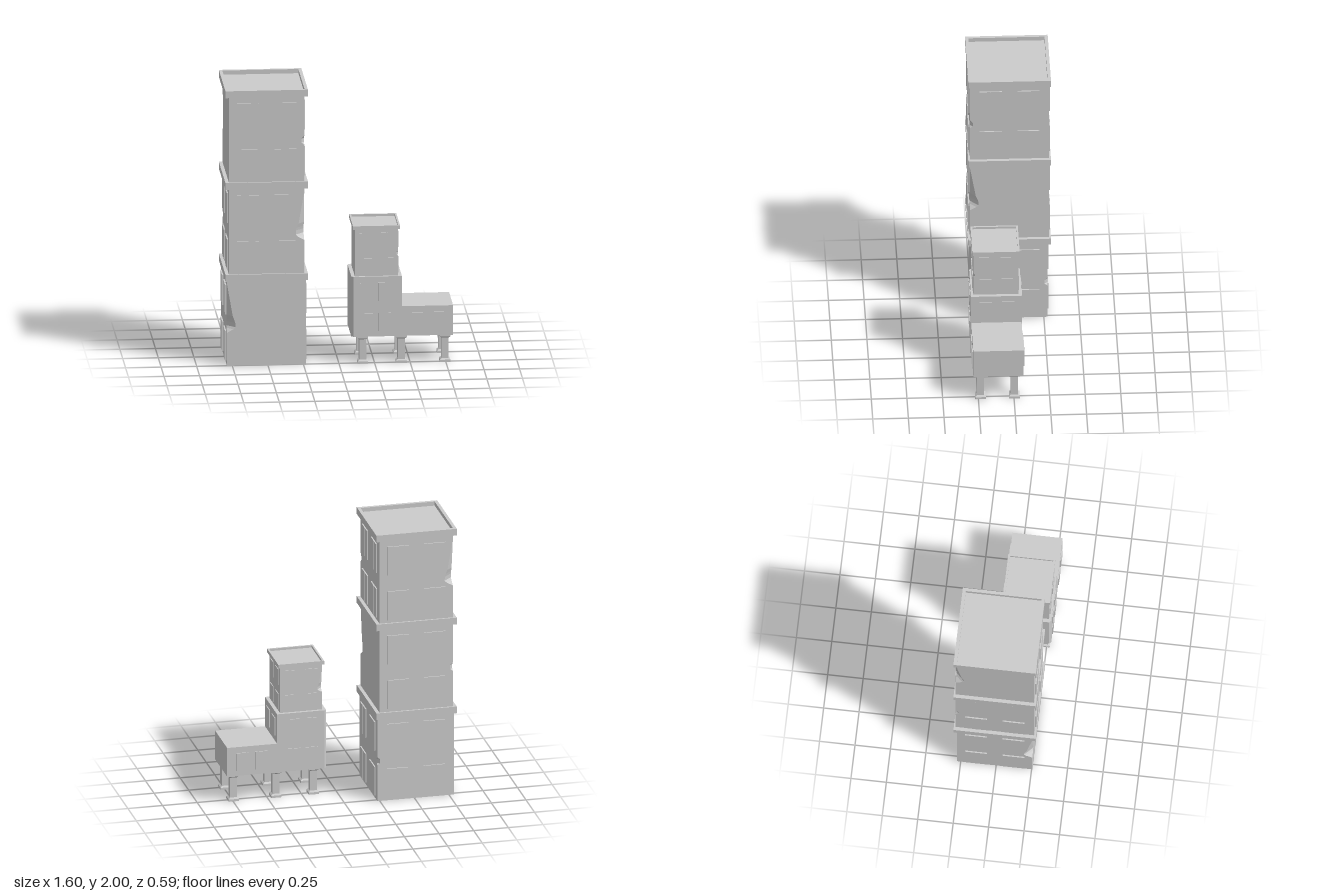
import * as THREE from 'three';

const mat = new THREE.MeshStandardMaterial({ color: 0xcccccc, flatShading: true });

function add(parent, name, geometry, x = 0, y = 0, z = 0) {
  const mesh = new THREE.Mesh(geometry, mat);
  mesh.name = name;
  mesh.position.set(x, y, z);
  parent.add(mesh);
  return mesh;
}

function box(parent, name, w, h, d, x, y, z) {
  return add(parent, name, new THREE.BoxGeometry(w, h, d), x, y, z);
}

// Skin a stack of horizontal rings (counter-clockwise seen from the front-left up axis) and cap it
function loft(rings) {
  const p = [];
  const n = rings[0].length;
  for (let i = 0; i < rings.length - 1; i++) {
    for (let j = 0; j < n; j++) {
      const k = (j + 1) % n;
      const a = rings[i][j], b = rings[i][k], c = rings[i + 1][k], d = rings[i + 1][j];
      p.push(...a, ...b, ...c, ...a, ...c, ...d);
    }
  }
  const lo = rings[0], hi = rings[rings.length - 1];
  for (let j = 1; j < n - 1; j++) {
    p.push(...lo[0], ...lo[j + 1], ...lo[j], ...hi[0], ...hi[j], ...hi[j + 1]);
  }
  const g = new THREE.BufferGeometry();
  g.setAttribute('position', new THREE.Float32BufferAttribute(p, 3));
  g.computeVertexNormals();
  return g;
}

// Raised window with a slim centre bar, facing +z at its own origin
function windowPane(parent, w, h, x, y, z, angle, depth = 0.009) {
  const g = new THREE.Group();
  g.name = 'window';
  box(g, 'pane', w, h, depth * 2, 0, 0, 0);
  box(g, 'mullion', w * 0.04, h, depth * 2 + 0.003, 0, 0, 0);
  g.position.set(x, y, z);
  g.rotation.y = angle;
  parent.add(g);
}

// Square rim with an optional sunken roof
function cornice(parent, y, open) {
  const o = 0.29, i = 0.267, h = 0.05;
  if (!open) return box(parent, 'cornice', o * 2, h, o * 2, 0, y + h / 2, 0);
  const s = new THREE.Shape([[-o, -o], [o, -o], [o, o], [-o, o]].map(([a, b]) => new THREE.Vector2(a, b)));
  s.holes.push(new THREE.Path([[-i, -i], [-i, i], [i, i], [i, -i]].map(([a, b]) => new THREE.Vector2(a, b))));
  const g = new THREE.ExtrudeGeometry(s, { depth: h, bevelEnabled: false });
  g.rotateX(-Math.PI / 2);
  add(parent, 'parapet', g, 0, y, 0);
  box(parent, 'roof', i * 2, 0.02, i * 2, 0, y + 0.01, 0);
}

// One tower storey block: blank +z face, damaged corners, windows on the other three sides
function storeyBlock(name, open) {
  const block = new THREE.Group();
  block.name = name;
  const hx = 0.277, hz = 0.265, e = 0.0005;
  // height, bite at the large damaged corner, bite at the small one
  const levels = [
    [0, e, e], [0.24, e, e], [0.265, 0.045, e], [0.28, 0.06, 0.02], [0.31, 0.058, 0.02],
    [0.33, 0.052, e], [0.36, 0.04, e], [0.59, e, e], [0.625, e, e],
  ];
  const rings = levels.map(([y, a, b]) => [
    [-hx, y, hz - a], [-hx + a, y, hz], [hx, y, hz],
    [hx, y, -hz + b], [hx - b, y, -hz], [-hx, y, -hz],
  ]);
  add(block, 'wall', loft(rings));
  for (const y of [0.13, 0.465]) {
    for (const s of [-1, 1]) {
      windowPane(block, 0.155, 0.215, s * 0.132, y, -hz, Math.PI);
      windowPane(block, 0.155, 0.215, hx, y, s * 0.132, Math.PI / 2);
      windowPane(block, 0.155, 0.215, -hx, y, s * 0.132, -Math.PI / 2);
    }
  }
  cornice(block, 0.617, open);
  return block;
}

// Square post with stepped, tapered foot and head
function post(parent, x, z) {
  const half = [[0, 0], [0.037, 0], [0.037, 0.016], [0.025, 0.026], [0.025, 0.174], [0.037, 0.184], [0.037, 0.2], [0, 0.2]];
  const g = new THREE.LatheGeometry(half.map(([r, y]) => new THREE.Vector2(r * Math.SQRT2, y)), 4);
  g.rotateY(Math.PI / 4);
  add(parent, 'post', g, x, 0, z);
}

export function createModel() {
  const model = new THREE.Group();
  model.name = 'buildings';

  // Tall tower: three copies of the block, turned differently
  const tower = new THREE.Group();
  tower.name = 'tallTower';
  [0, Math.PI / 2, -Math.PI / 2].forEach((angle, i) => {
    const b = storeyBlock('towerBlock', i === 2);
    b.position.y = i * 0.6665;
    b.rotation.y = angle;
    tower.add(b);
  });
  tower.position.set(-0.51, 0, -0.01);
  model.add(tower);

  // Small building on posts
  const house = new THREE.Group();
  house.name = 'raisedBuilding';
  model.add(house);

  const x0 = 0.085, x1 = 0.44, z0 = -0.068, z1 = 0.287, c = 0.014;
  const ring = (y) => [
    [x0, y, z1 - c], [x0 + c, y, z1], [x1, y, z1],
    [x1, y, z0], [x0 + c, y, z0], [x0, y, z0 + c],
  ];
  add(house, 'mainBlock', loft([ring(0.2), ring(0.635)]));
  box(house, 'wing', 0.36, 0.215, z1 - z0 - 0.002, 0.62, 0.3075, (z0 + z1) / 2);

  // Windows of the main block and wing
  for (const [z, angle] of [[z1, 0], [z0, Math.PI]]) {
    for (const x of [0.19, 0.318]) {
      for (const y of [0.305, 0.525]) windowPane(house, 0.09, 0.13, x, y, z, angle, 0.006);
    }
    for (const x of [0.555, 0.692]) windowPane(house, 0.088, 0.13, x, 0.305, z, angle, 0.006);
  }
  for (const z of [0.025, 0.185]) windowPane(house, 0.09, 0.13, x1, 0.525, z, Math.PI / 2, 0.006);

  // Upper turret
  const turret = storeyBlock('turret', true);
  turret.scale.set(0.572, 0.547, 0.572);
  turret.rotation.y = -Math.PI / 2;
  turret.position.set(0.262, 0.635, 0.112);
  house.add(turret);

  // Supporting posts
  for (const x of [0.167, 0.438, 0.745]) {
    for (const z of [0.235, -0.003]) post(house, x, z);
  }
  return model;
}
